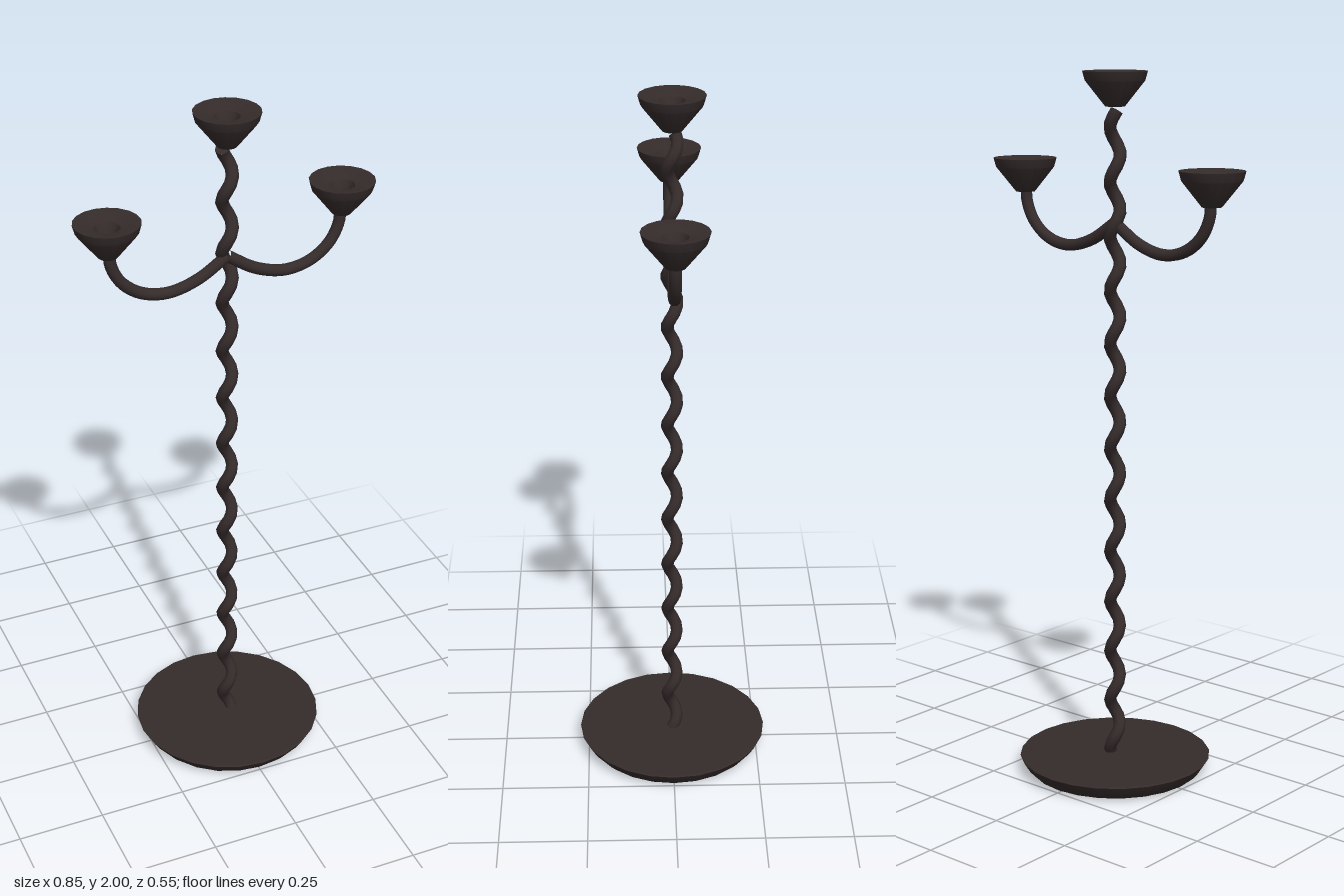
import * as THREE from 'three';
import { toCreasedNormals } from 'three/addons/utils/BufferGeometryUtils.js';

const iron = new THREE.MeshStandardMaterial({ color: 0x352b2b });
iron.name = 'dark iron';

// Rising twist of the stem
class Helix extends THREE.Curve {
  constructor(radius, bottom, top, pitch) {
    super();
    Object.assign(this, { radius, bottom, top, pitch, arcLengthDivisions: 1200 });
  }
  getPoint(t, target = new THREE.Vector3()) {
    const y = THREE.MathUtils.lerp(this.bottom, this.top, t);
    const a = ((y - this.bottom) / this.pitch) * Math.PI * 2;
    return target.set(this.radius * Math.cos(a), y, -this.radius * Math.sin(a));
  }
}

function lathe(name, profile, sides) {
  const points = profile.map(([r, y]) => new THREE.Vector2(r, y));
  const mesh = new THREE.Mesh(toCreasedNormals(new THREE.LatheGeometry(points, sides), 0.5), iron);
  mesh.name = name;
  return mesh;
}

// Round bar along a curve, with its far end closed by a disc
function bar(name, curve, segments, radius, sides) {
  const group = new THREE.Group();
  group.name = name;
  const rod = new THREE.Mesh(new THREE.TubeGeometry(curve, segments, radius, sides), iron);
  rod.name = name + 'Rod';
  const cap = new THREE.Mesh(new THREE.CircleGeometry(radius, sides), iron);
  cap.name = name + 'End';
  cap.position.copy(curve.getPointAt(1));
  cap.quaternion.setFromUnitVectors(new THREE.Vector3(0, 0, 1), curve.getTangentAt(1));
  group.add(rod, cap);
  return group;
}

// Dished candle cup with a through hole; y = 0 is the rim
function candleCup(name, x, y) {
  const cup = lathe(name, [
    [0.021, -0.095], [0.027, -0.095], [0.083, -0.025], [0.09, 0],
    [0.086, 0], [0.035, -0.014], [0.021, -0.045], [0.021, -0.095],
  ], 18);
  cup.position.set(x, y, 0);
  return cup;
}

export function createModel() {
  const model = new THREE.Group();
  model.name = 'candelabra';

  // Dish-edged foot
  model.add(lathe('base', [
    [0, 0], [0.23, 0], [0.245, 0.006], [0.258, 0.02], [0.275, 0.047], [0.272, 0.05], [0, 0.05],
  ], 24));

  // Twisted stem and its cup
  model.add(bar('stem', new Helix(0.014, 0.045, 1.895, 0.149), 100, 0.018, 8));
  model.add(candleCup('topCup', 0, 2));

  // Mirrored arms and cups
  for (const [side, s] of [['left', 1], ['right', -1]]) {
    const path = new THREE.CatmullRomCurve3([
      [0, 1.59], [0.085, 1.537], [0.17, 1.515], [0.245, 1.53], [0.3, 1.572], [0.327, 1.625], [0.331, 1.665],
    ].map(([x, y]) => new THREE.Vector3(s * x, y, 0)));
    model.add(bar(side + 'Arm', path, 28, 0.0165, 10));
    model.add(candleCup(side + 'Cup', s * 0.334, 1.75));
  }
  return model;
}
